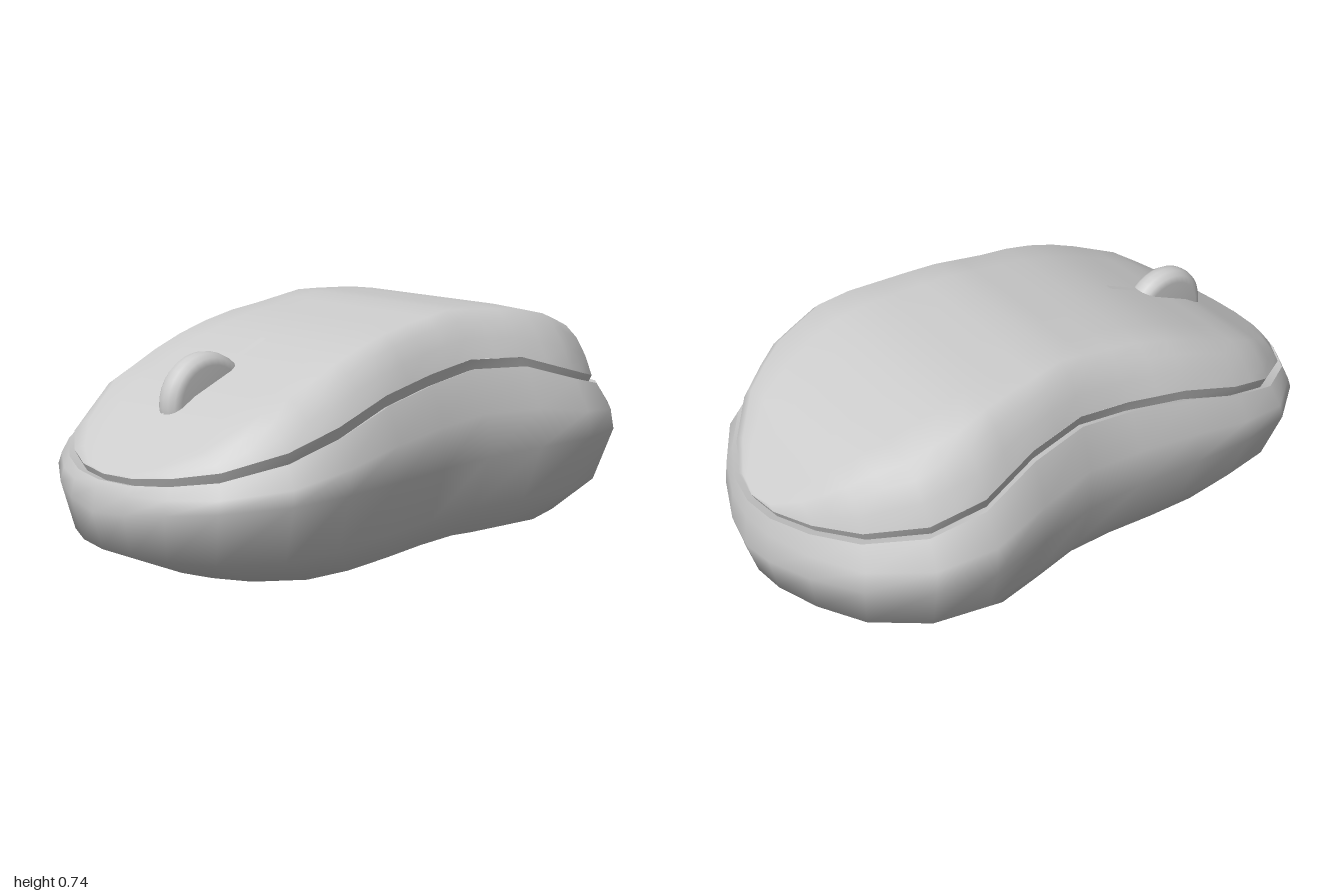
import * as THREE from 'three';
import { mergeVertices } from 'three/addons/utils/BufferGeometryUtils.js';

const grey = new THREE.MeshStandardMaterial({ color: 0xcccccc, side: THREE.DoubleSide });

// Half outlines [x, half width] from nose to tail, matched point by point
const bodyOutline = [[-1, 0], [-0.985, 0.13], [-0.94, 0.255], [-0.86, 0.39], [-0.7, 0.515], [-0.52, 0.545],
  [-0.31, 0.537], [-0.1, 0.52], [0.1, 0.52], [0.3, 0.565], [0.5, 0.605], [0.68, 0.565], [0.84, 0.435],
  [0.93, 0.275], [0.985, 0.12], [1, 0]];
const shellOutline = [[-0.96, 0], [-0.945, 0.12], [-0.9, 0.235], [-0.82, 0.355], [-0.665, 0.455], [-0.5, 0.482],
  [-0.3, 0.47], [-0.09, 0.445], [0.09, 0.445], [0.29, 0.485], [0.485, 0.527], [0.65, 0.49], [0.8, 0.375],
  [0.89, 0.24], [0.945, 0.11], [0.96, 0]];

// Height of the seam and of the crown along x
const seam = [[-0.96, 0.345], [-0.3, 0.545], [0.08, 0.597], [0.28, 0.588], [0.5, 0.52], [0.65, 0.48], [0.96, 0.415]];
const crown = [[-0.96, 0.345], [-0.78, 0.46], [-0.68, 0.525], [-0.55, 0.58], [-0.36, 0.66], [-0.2, 0.7],
  [0.1, 0.745], [0.43, 0.72], [0.6, 0.66], [0.77, 0.59], [0.96, 0.415]];

function sample(table, x) {
  if (x <= table[0][0]) return table[0][1];
  for (let i = 1; i < table.length; i++) {
    const [x0, y0] = table[i - 1], [x1, y1] = table[i];
    if (x <= x1) return y0 + (y1 - y0) * (x - x0) / (x1 - x0);
  }
  return table[table.length - 1][1];
}

// Full closed ring from a mirrored half outline
function ring(outline, sx, sz, height) {
  const back = outline.slice(1, -1).reverse().map(([x, z]) => [x, -z]);
  return [...outline, ...back].map(([x, z]) => [x * sx, height(x, Math.abs(z)), z * sz]);
}

// Skin between rows of points of equal length
function loft(rows, closed, capY) {
  const n = rows[0].length, index = [], points = rows.flat();
  for (let j = 0; j < rows.length - 1; j++) {
    for (let i = 0; i < (closed ? n : n - 1); i++) {
      const a = j * n + i, b = j * n + (i + 1) % n;
      index.push(a, b, b + n, a, b + n, a + n);
    }
  }
  if (capY !== undefined) {
    points.push([0, capY, 0]);
    for (let i = 0; i < n; i++) index.push(points.length - 1, (i + 1) % n, i);
  }
  let geo = new THREE.BufferGeometry();
  geo.setAttribute('position', new THREE.Float32BufferAttribute(points.flat(), 3));
  geo.setIndex(index);
  geo = mergeVertices(geo, 1e-5);
  geo.computeVertexNormals();
  return geo;
}

export function createModel() {
  const group = new THREE.Group();
  const add = (name, geo) => {
    const mesh = new THREE.Mesh(geo, grey);
    mesh.name = name;
    group.add(mesh);
    return mesh;
  };

  // Lower body, flat underneath and bulging at mid height
  const lip = x => sample(seam, x) - 0.028 + 0.018 * Math.pow(Math.abs(x), 6);
  const lipRing = ring(shellOutline, 1.016, 1.03, lip);
  add('lowerBody', loft([
    ring(bodyOutline, 0.42, 0.59, () => 0),
    ring(bodyOutline, 0.78, 0.77, () => 0.03),
    ring(bodyOutline, 0.972, 0.89, () => 0.125),
    ring(bodyOutline, 1, 1, (x, z) => 0.24 + 0.07 * z / 0.6),
    ring(bodyOutline, 0.988, 0.985, (x, z) => 0.28 + 0.55 * (lip(x) - 0.28)),
    lipRing,
  ], true, 0));

  // Ledge and groove wall between body and top shell
  add('seamLedge', loft([lipRing, ring(shellOutline, 0.97, 0.96, x => lip(x) - 0.012)], true));
  add('shellSkirt', loft([
    ring(shellOutline, 0.98, 0.975, x => sample(seam, x) - 0.04),
    ring(shellOutline, 1, 1, x => sample(seam, x)),
  ], true));

  // Top shell: flat crown with rounded shoulders at each station
  const shoulder = [[0, 1], [0.55, 1], [0.77, 0.97], [0.86, 0.75], [0.94, 0.4], [1, 0]];
  const across = [1, 0.94, 0.86, 0.77, 0.55, 0.25, 0, -0.25, -0.55, -0.77, -0.86, -0.94, -1];
  const stations = [];
  shellOutline.forEach(([x, w], i) => {
    stations.push([x, w]);
    const next = shellOutline[i + 1];
    if (next) stations.push([(x + next[0]) / 2, (w + next[1]) / 2]);
  });
  const section = ([x, w]) => across.map(t => {
    const low = sample(seam, x), high = Math.max(low, sample(crown, x));
    return [x, low + (high - low) * sample(shoulder, Math.abs(t)), t * w];
  });
  // Rows run along x, so the points of each row run across
  const columns = stations.map(section);
  add('topShell', loft(across.map((_, k) => columns.map(c => c[k])), false));

  // Scroll wheel
  const profile = [[0, -0.047], [0.115, -0.047], [0.135, -0.038], [0.147, -0.02], [0.15, 0],
    [0.147, 0.02], [0.135, 0.038], [0.115, 0.047], [0, 0.047]].map(p => new THREE.Vector2(...p));
  const wheel = add('scrollWheel', new THREE.LatheGeometry(profile, 32));
  wheel.rotation.x = Math.PI / 2;
  wheel.position.set(-0.597, 0.5, 0);

  // Split line between the buttons, before and behind the wheel
  const split = (name, x0, x1, half) => {
    const xs = Array.from({ length: 9 }, (_, i) => x0 + (x1 - x0) * i / 8);
    const row = z => xs.map(x => [x, sample(crown, x) + 0.003, z]);
    add(name, loft([row(half), row(-half)], false));
  };
  split('frontButtonSplit', -0.95, -0.73, 0.004);
  split('rearButtonSplit', -0.48, -0.36, 0.012);

  return group;
}
